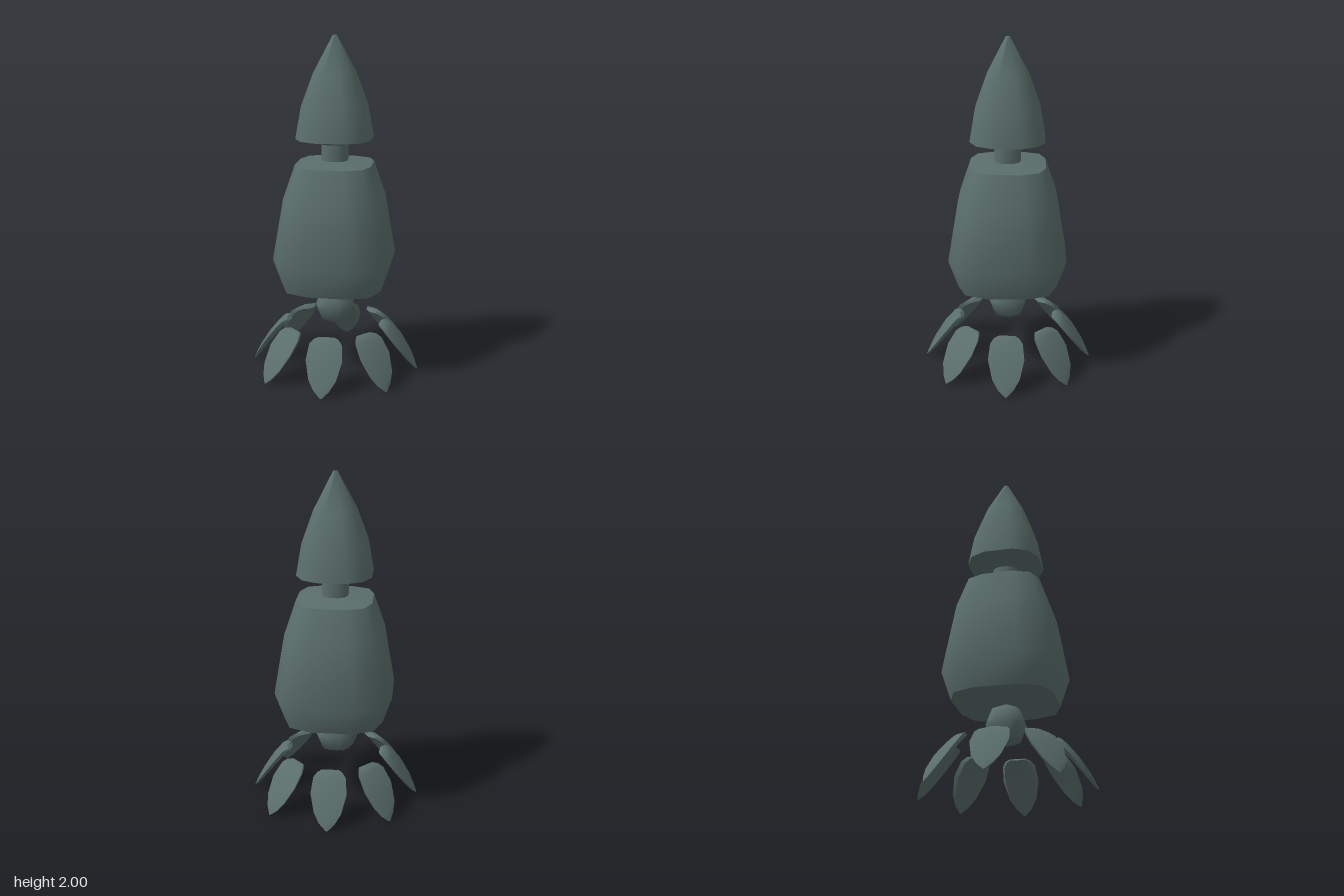
import * as THREE from 'three';
import { toCreasedNormals } from 'three/addons/utils/BufferGeometryUtils.js';

// Skin a stack of equal-length rings (bottom to top) and close both ends
function loft(rings, crease) {
  const n = rings[0].length, pos = [], idx = [];
  const last = rings.length - 1;
  rings.forEach(r => r.forEach(p => pos.push(...p)));
  for (let i = 0; i < last; i++) {
    for (let j = 0; j < n; j++) {
      const k = (j + 1) % n;
      const a = i * n + j, b = i * n + k, c = b + n, d = a + n;
      idx.push(a, b, c, a, c, d);
    }
  }
  [0, last].forEach(i => {
    const centre = pos.length / 3;
    for (let c = 0; c < 3; c++) pos.push(rings[i].reduce((s, p) => s + p[c], 0) / n);
    for (let j = 0; j < n; j++) {
      const a = i * n + j, b = i * n + (j + 1) % n;
      if (i === 0) idx.push(centre, b, a);
      else idx.push(centre, a, b);
    }
  });
  const g = new THREE.BufferGeometry();
  g.setAttribute('position', new THREE.Float32BufferAttribute(pos, 3));
  g.setIndex(idx);
  return toCreasedNormals(g, crease);
}

// Rounded-diamond cross-section: four points on the axes, two between each pair
function diamondRing(r, y, u, v) {
  const ring = [];
  for (let q = 0; q < 4; q++) {
    const c = Math.round(Math.cos(q * Math.PI / 2)), s = Math.round(Math.sin(q * Math.PI / 2));
    [[1, 0], [u, v], [v, u]].forEach(([a, b]) =>
      ring.push([r * (a * c - b * s), y, -r * (a * s + b * c)]));
  }
  return ring;
}

const turned = (profile, u, v) =>
  loft(profile.map(([r, y]) => diamondRing(r, y, u, v)), 1.0);

// Pointed petal facing +z, domed outside and keeled inside
function petalGeometry() {
  // radius, height, half width, thickness from tip to top
  const stations = [
    [0.508, 0.006, 0.004, 0.006],
    [0.492, 0.045, 0.045, 0.02],
    [0.465, 0.1, 0.08, 0.032],
    [0.405, 0.195, 0.106, 0.042],
    [0.345, 0.27, 0.096, 0.046],
    [0.32, 0.291, 0.075, 0.044],
    [0.293, 0.294, 0.05, 0.03],
  ];
  const rings = stations.map(([r, y, w, t]) => {
    const at = (x, d) => [x, y - 0.59 * d, r - 0.81 * d];
    return [at(-w, t * 0.25), at(0, 0), at(w, t * 0.25),
      at(w * 0.85, t * 0.75), at(0, t), at(-w * 0.85, t * 0.75)];
  });
  return loft(rings, 0.7);
}

export function createModel() {
  const group = new THREE.Group();
  const slate = new THREE.MeshStandardMaterial({ color: 0x5a6e6b });
  slate.name = 'slate green';

  const add = (name, geometry) => {
    const m = new THREE.Mesh(geometry, slate);
    m.name = name;
    group.add(m);
    return m;
  };

  // Main stack
  add('body', turned([[0.345, 0.53], [0.41, 0.7], [0.338, 1.065], [0.26, 1.265], [0.08, 1.285]], 0.84, 0.36));
  add('neck', turned([[0.083, 1.27], [0.083, 1.4]], 0.87, 0.42));
  add('head', turned([[0.08, 1.38], [0.243, 1.415], [0.208, 1.6], [0.133, 1.79], [0.014, 2]], 0.88, 0.38));

  // Faceted ball hanging under the body
  add('lowerBall', turned([[0.06, 0.296], [0.09, 0.312], [0.125, 0.4], [0.09, 0.488], [0.015, 0.522]], 0.85, 0.4));

  // Ring of eight petals
  const petal = petalGeometry();
  for (let i = 0; i < 8; i++) add('petal', petal).rotation.y = i * Math.PI / 4;

  return group;
}
